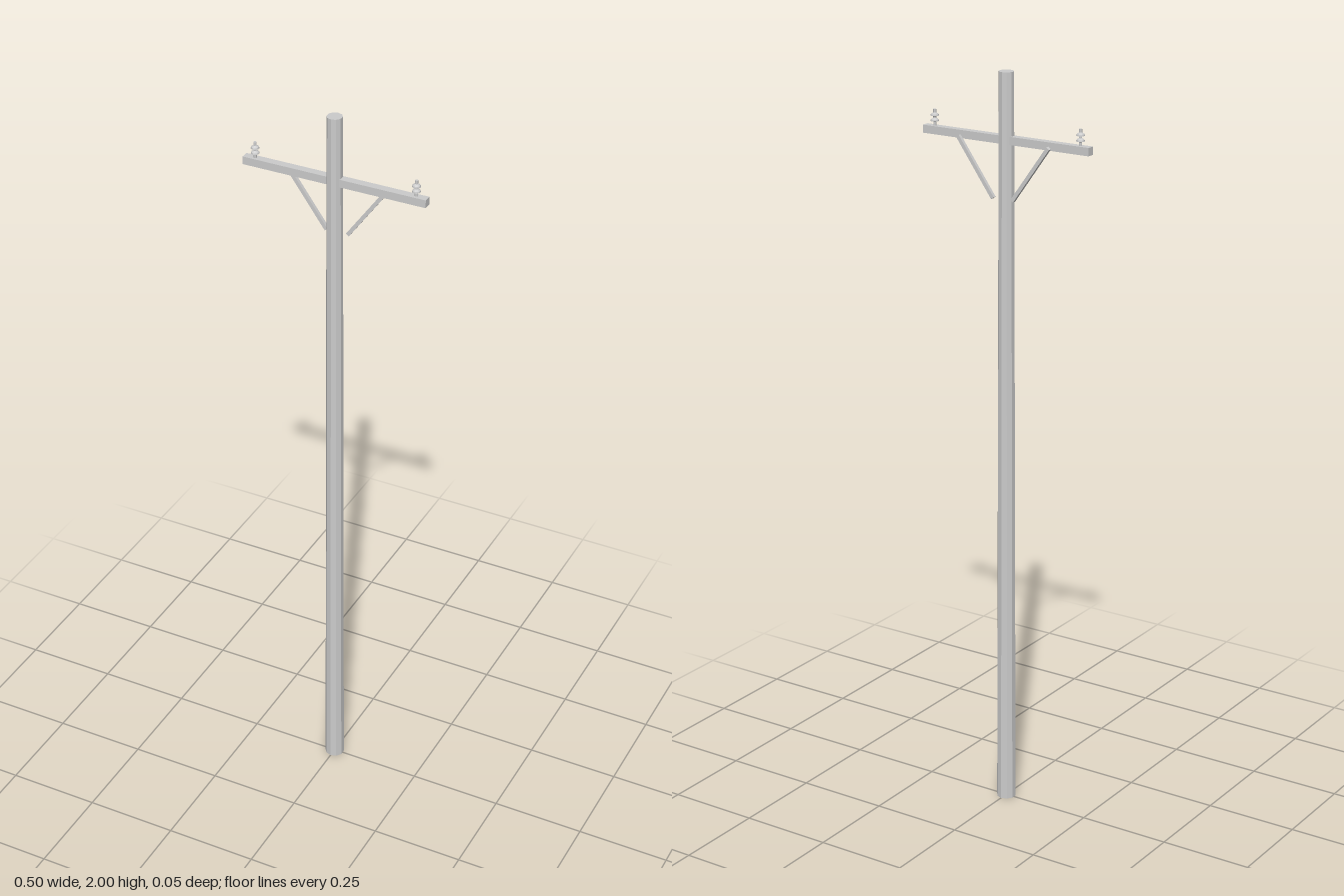
import * as THREE from 'three';

const material = new THREE.MeshStandardMaterial({ color: 0xcccccc, flatShading: true });

function part(name, geometry, parent, x = 0, y = 0, z = 0) {
  const mesh = new THREE.Mesh(geometry, material);
  mesh.name = name;
  mesh.position.set(x, y, z);
  parent.add(mesh);
  return mesh;
}

export function createModel() {
  const model = new THREE.Group();
  model.name = 'utilityPole';

  // Tapered ten-sided pole
  part('pole', new THREE.CylinderGeometry(0.02, 0.0262, 2, 10), model, 0, 1, 0);

  // Crossarm through the pole
  part('crossarm', new THREE.BoxGeometry(0.498, 0.021, 0.021), model, 0, 1.827, 0);

  // Pin insulator outline: stem, two skirts and a small cap
  const profile = [
    [0, 0], [0.004, 0], [0.004, 0.01], [0.011, 0.012], [0.01, 0.016],
    [0.004, 0.02], [0.004, 0.024], [0.011, 0.026], [0.01, 0.03],
    [0.004, 0.034], [0.004, 0.043], [0, 0.043],
  ].map(([r, y]) => new THREE.Vector2(r, y));
  const insulator = new THREE.LatheGeometry(profile, 12);

  // Diagonal brace behind the arm and an insulator on top, on each side
  const brace = new THREE.BoxGeometry(0.01, 0.182, 0.009);
  for (const [side, s] of [['left', 1], ['right', -1]]) {
    const b = part(side + 'Brace', brace, model, s * 0.0825, 1.75, -0.0155);
    b.rotation.z = -s * 0.625;
    part(side + 'Insulator', insulator, model, s * 0.219, 1.837, 0);
  }
  return model;
}
